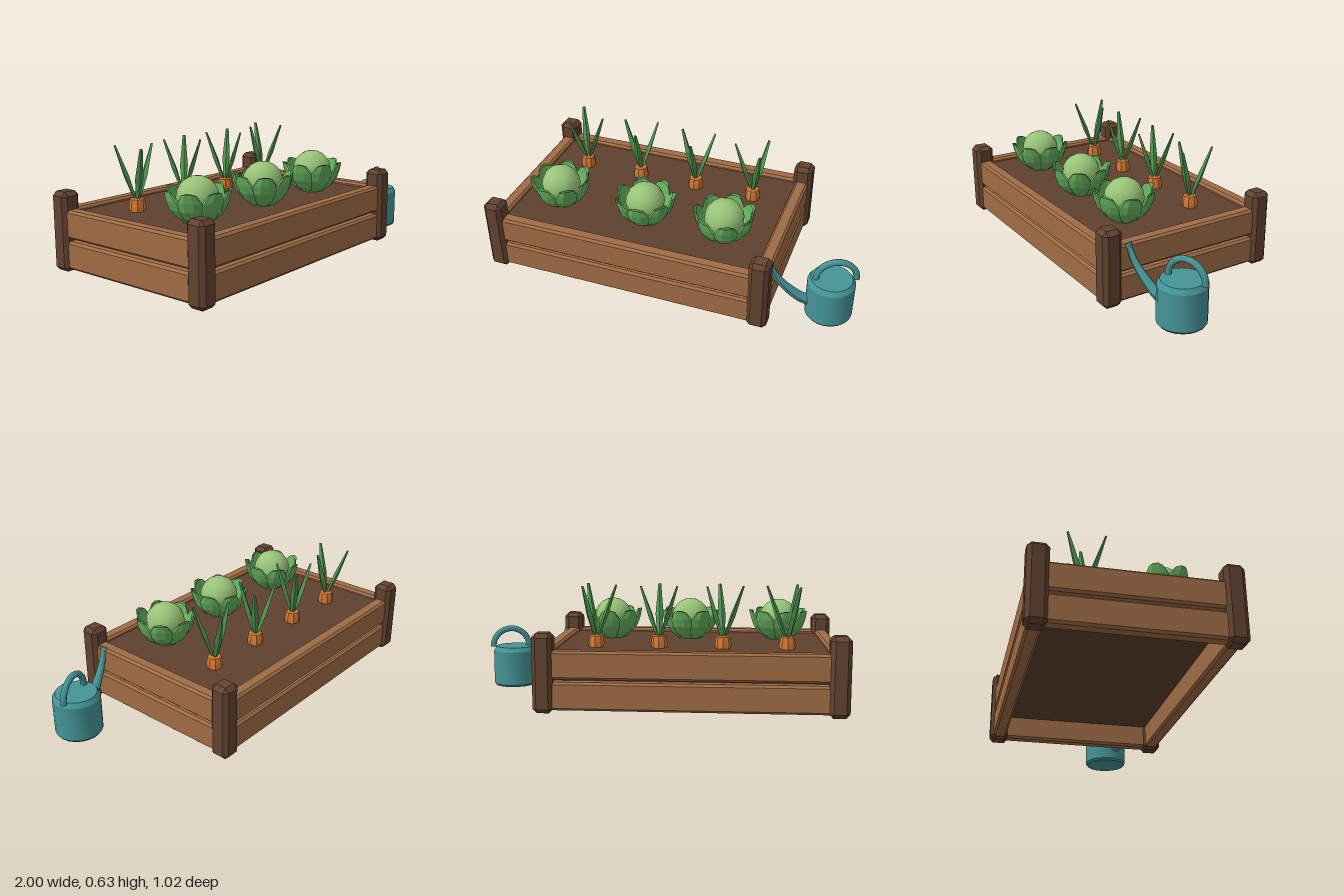
import * as THREE from 'three';
import { toCreasedNormals } from 'three/addons/utils/BufferGeometryUtils.js';
import { ConvexGeometry } from 'three/addons/geometries/ConvexGeometry.js';
import { ParametricGeometry } from 'three/addons/geometries/ParametricGeometry.js';

function material(name, color, side = THREE.FrontSide) {
  const m = new THREE.MeshStandardMaterial({ color, side });
  m.name = name;
  return m;
}

function add(parent, name, geometry, mat, x = 0, y = 0, z = 0) {
  const mesh = new THREE.Mesh(geometry, mat);
  mesh.name = name;
  mesh.position.set(x, y, z);
  parent.add(mesh);
  return mesh;
}

// Box with every edge chamfered by b
function chamferBox(w, h, d, b) {
  const pts = [];
  for (const sx of [-1, 1]) for (const sy of [-1, 1]) for (const sz of [-1, 1])
    for (let k = 0; k < 3; k++)
      pts.push(new THREE.Vector3(
        sx * (w / 2 - (k === 0 ? 0 : b)),
        sy * (h / 2 - (k === 1 ? 0 : b)),
        sz * (d / 2 - (k === 2 ? 0 : b))));
  return new ConvexGeometry(pts);
}

function flat(geometry) {
  const g = geometry.index ? geometry.toNonIndexed() : geometry;
  g.computeVertexNormals();
  return g;
}

// Piecewise linear lookup in evenly spaced values
function sample(values, t) {
  const f = t * (values.length - 1);
  const i = Math.min(Math.floor(f), values.length - 2);
  return THREE.MathUtils.lerp(values[i], values[i + 1], f - i);
}

// Cupped leaf: a thin closed section swept up a curved profile
function cabbageLeafGeometry() {
  const radius = [0.06, 0.105, 0.133, 0.149, 0.158];
  const height = [0.3, 0.335, 0.375, 0.42, 0.467];
  const spread = [0.45, 0.5, 0.52, 0.5, 0.27];
  return flat(new ParametricGeometry((s, v, out) => {
    const a = s * Math.PI * 2;
    const across = Math.cos(a);
    const angle = across * sample(spread, v);
    const r = sample(radius, v) + Math.sin(a) * 0.009 - across * across * 0.012;
    const y = sample(height, v) - across * across * 0.012 * v;
    out.set(Math.cos(angle) * r, y, Math.sin(angle) * r);
  }, 10, 8));
}

export function createModel() {
  const model = new THREE.Group();
  model.name = 'gardenBed';
  const plankWood = material('plank wood', 0xa06c45);
  const postWood = material('post wood', 0x624330);
  const earth = material('soil', 0x5e412f);
  const headGreen = material('cabbage head green', 0x98c478);
  const leafGreen = material('cabbage leaf green', 0x66b05e, THREE.DoubleSide);
  const bladeGreen = material('carrot top green', 0x4f9650);
  const orange = material('carrot orange', 0xd97b35);
  const teal = material('can teal', 0x459497);

  // Timber frame
  const bed = new THREE.Group();
  bed.name = 'bed';
  bed.position.x = -0.203;
  model.add(bed);
  const postGeo = chamferBox(0.106, 0.41, 0.106, 0.022);
  const longGeo = chamferBox(1.46, 0.146, 0.072, 0.012);
  const shortGeo = chamferBox(0.072, 0.146, 0.9, 0.012);
  for (const s of [-1, 1]) {
    for (const t of [-1, 1]) add(bed, 'post', postGeo, postWood, s * 0.743, 0.205, t * 0.458);
    for (const y of [0.088, 0.247]) {
      add(bed, 'longPlank', longGeo, plankWood, 0, y, s * 0.457);
      add(bed, 'endPlank', shortGeo, plankWood, s * 0.742, y, 0);
    }
  }
  add(bed, 'soil', new THREE.BoxGeometry(1.43, 0.16, 0.86), earth, 0, 0.22, 0);

  // Cabbages
  const headGeo = new THREE.SphereGeometry(0.106, 14, 10);
  const leafGeo = cabbageLeafGeometry();
  const stemGeo = new THREE.CylinderGeometry(0.09, 0.06, 0.08, 12);
  [-0.68, -0.18, 0.265].forEach((x, n) => {
    const cabbage = new THREE.Group();
    cabbage.name = 'cabbage';
    cabbage.position.set(x, 0, 0.195);
    model.add(cabbage);
    add(cabbage, 'cabbageHead', headGeo, headGreen, 0, 0.42, 0);
    add(cabbage, 'cabbageBase', stemGeo, leafGreen, 0, 0.33, 0);
    for (let i = 0; i < 7; i++)
      add(cabbage, 'cabbageLeaf', leafGeo, leafGreen).rotation.y = i * Math.PI * 2 / 7 + n * 0.3;
  });

  // Carrots with three leaning blades each
  const rootGeo = toCreasedNormals(new THREE.LatheGeometry([
    [0, 0.24], [0.032, 0.25], [0.044, 0.32], [0.037, 0.362], [0.03, 0.367], [0, 0.367],
  ].map(p => new THREE.Vector2(...p)), 8), 0.6);
  const bladeGeo = flat(new THREE.LatheGeometry([
    [0, 0], [0.01, 0], [0.021, 0.13], [0.008, 0.297], [0, 0.298],
  ].map(p => new THREE.Vector2(...p)), 4));
  bladeGeo.scale(0.65, 1, 1);
  const yaw = [0, 80, 87, 60];
  [-0.705, -0.368, -0.03, 0.308].forEach((x, n) => {
    const carrot = new THREE.Group();
    carrot.name = 'carrot';
    carrot.position.set(x, 0, -0.195);
    model.add(carrot);
    add(carrot, 'carrotRoot', rootGeo, orange);
    for (let i = 0; i < 3; i++) {
      const pivot = new THREE.Group();
      pivot.name = 'carrotTop';
      pivot.rotation.y = -THREE.MathUtils.degToRad(yaw[n] + i * 120);
      carrot.add(pivot);
      add(pivot, 'carrotBlade', bladeGeo, bladeGreen, 0.008, 0.352, 0).rotation.z = -0.35;
    }
  });

  // Watering can, its spout pointing along local -x
  const can = new THREE.Group();
  can.name = 'wateringCan';
  can.position.set(0.865, 0, 0.255);
  can.rotation.y = 0.35;
  model.add(can);
  add(can, 'canBody', toCreasedNormals(new THREE.LatheGeometry([
    [0, 0], [0.115, 0], [0.124, 0.012], [0.124, 0.205], [0.108, 0.23], [0, 0.23],
  ].map(p => new THREE.Vector2(...p)), 20), 0.5), teal);
  add(can, 'canHandle', new THREE.TorusGeometry(0.104, 0.017, 8, 16, Math.PI), teal, 0.022, 0.229, 0);
  const capGeo = new THREE.CircleGeometry(0.017, 8).rotateX(Math.PI / 2);
  add(can, 'handleEnd', capGeo, teal, 0.126, 0.229, 0);

  // Tapered spout
  const path = new THREE.CatmullRomCurve3([
    [-0.09, 0.08], [-0.15, 0.105], [-0.23, 0.175], [-0.285, 0.245], [-0.31, 0.3],
  ].map(p => new THREE.Vector3(p[0], p[1], 0)));
  const steps = 14, sides = 10;
  const spoutGeo = new THREE.TubeGeometry(path, steps, 0.032, sides);
  const pos = spoutGeo.attributes.position;
  const v = new THREE.Vector3();
  for (let i = 0; i <= steps; i++) {
    const c = path.getPointAt(i / steps);
    for (let j = 0; j <= sides; j++) {
      const k = i * (sides + 1) + j;
      v.fromBufferAttribute(pos, k).sub(c).multiplyScalar(1 - 0.56 * i / steps).add(c);
      pos.setXYZ(k, v.x, v.y, v.z);
    }
  }
  spoutGeo.computeVertexNormals();
  add(can, 'canSpout', spoutGeo, teal);
  add(can, 'spoutRose', toCreasedNormals(new THREE.CylinderGeometry(0.024, 0.014, 0.028, 10), 0.6),
    teal, -0.315, 0.307, 0).rotation.z = 0.6;

  return model;
}
